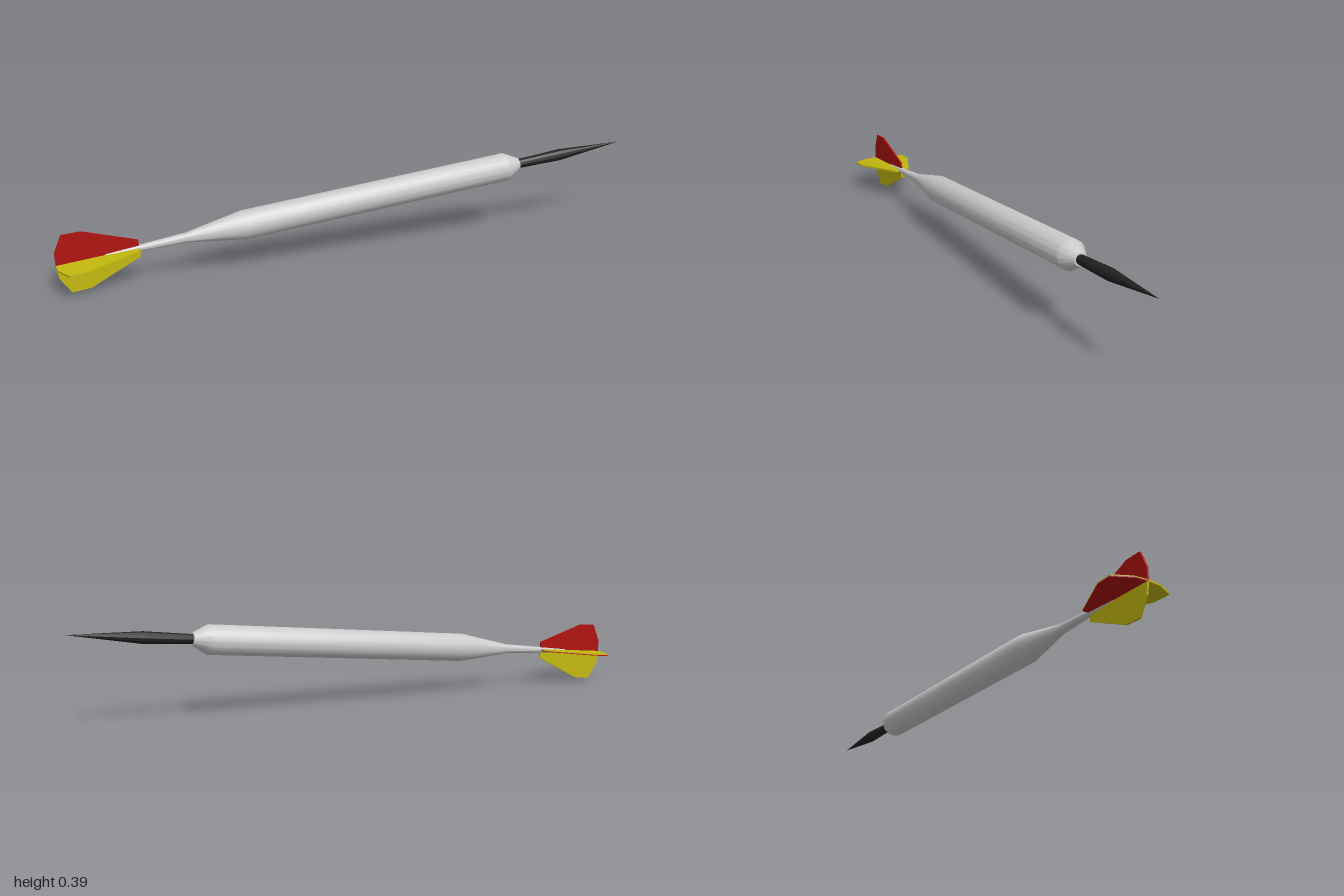
import * as THREE from 'three';
import { toCreasedNormals } from 'three/addons/utils/BufferGeometryUtils.js';

const grey = new THREE.MeshStandardMaterial({ color: 0xcccccc });
const black = new THREE.MeshStandardMaterial({ color: 0x222222 });
const red = new THREE.MeshStandardMaterial({ color: 0xb0120f });
const yellow = new THREE.MeshStandardMaterial({ color: 0xc4b90f });

// Turned part around the dart's axis; profile is [radius, distance from tail]
function turned(name, profile, sides, material) {
  const points = profile.map(([r, s]) => new THREE.Vector2(r, s));
  const geometry = toCreasedNormals(new THREE.LatheGeometry(points, sides), 0.5);
  const mesh = new THREE.Mesh(geometry, material);
  mesh.name = name;
  return mesh;
}

// Thin flight blade reaching outward from the axis, between depths z0 and z1
function blade(name, angle, material, z0, z1) {
  const outline = [[0, 0], [0.054, 0.003], [0.128, 0.043], [0.126, 0.122], [0.037, 0.34], [0, 0.34]];
  const shape = new THREE.Shape(outline.map(([x, y]) => new THREE.Vector2(x, y)));
  const geometry = new THREE.ExtrudeGeometry(shape, { depth: z1 - z0, bevelEnabled: false });
  geometry.translate(0, 0, z0);
  const mesh = new THREE.Mesh(geometry, material);
  mesh.rotation.y = angle;
  mesh.name = name;
  return mesh;
}

export function createModel() {
  const dart = new THREE.Group();
  dart.name = 'dart';

  // Barrel with tapering shaft
  dart.add(turned('barrel', [
    [0, 0.2], [0.008, 0.2], [0.021, 0.535], [0.062, 0.78],
    [0.062, 1.98], [0.027, 2.045], [0, 2.045],
  ], 16, grey));

  // Pointed tip
  dart.add(turned('point', [[0, 2.03], [0.02, 2.03], [0.025, 2.25], [0, 2.55]], 12, black));

  // Four flights; one side blade has a red underside
  const t = 0.004;
  dart.add(blade('upperFlight', Math.PI / 2, red, -t, t));
  dart.add(blade('lowerFlight', -Math.PI / 2, yellow, -t, t));
  dart.add(blade('sideFlight', Math.PI, yellow, -t, t));
  dart.add(blade('sideFlightTop', 0, yellow, -t, 0));
  dart.add(blade('sideFlightUnderside', 0, red, 0, t));

  // Lay the dart along its diagonal, slightly nose-up
  const along = new THREE.Vector3(1.62, 0.258, -1.95).normalize();
  const side = new THREE.Vector3(0, 1, 0).cross(along).normalize();
  const down = new THREE.Vector3().crossVectors(side, along);
  dart.quaternion.setFromRotationMatrix(new THREE.Matrix4().makeBasis(side, along, down));
  dart.position.set(-0.78, 0.125, 0.95);

  const model = new THREE.Group();
  model.name = 'model';
  model.add(dart);
  return model;
}
